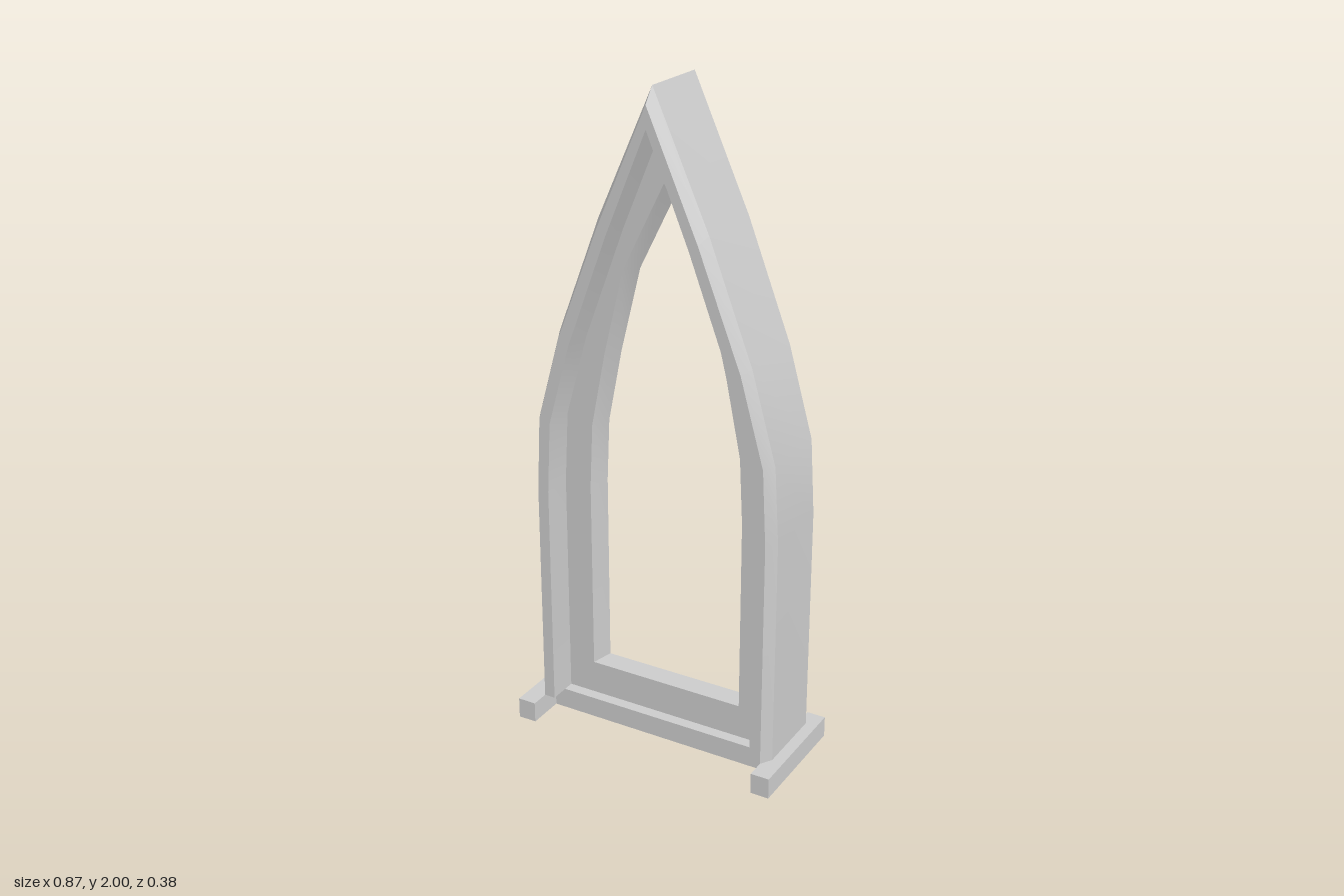
import * as THREE from 'three';
import { toCreasedNormals } from 'three/addons/utils/BufferGeometryUtils.js';

const material = new THREE.MeshStandardMaterial({ color: 0xcccccc });

// Mirrors a right-hand half outline (bottom to apex) into a whole pointed arch at depth z.
function arch(half, z) {
  const left = half.slice(0, -1).reverse().map(([x, y]) => [-x, y]);
  return [...half, ...left].map(([x, y]) => new THREE.Vector3(x, y, z));
}

// Skins a closed loop of arches; a closed path also joins their feet, an open one gets end caps.
function skin(rings, closedPath) {
  const points = [];
  const n = rings[0].length;
  rings.forEach((ring, i) => {
    const next = rings[(i + 1) % rings.length];
    for (let j = 0; j < (closedPath ? n : n - 1); j++) {
      const k = (j + 1) % n;
      points.push(ring[j], ring[k], next[k], ring[j], next[k], next[j]);
    }
  });
  if (!closedPath) {
    for (let i = 1; i < rings.length - 1; i++) {
      points.push(rings[0][0], rings[i][0], rings[i + 1][0]);
      points.push(rings[0][n - 1], rings[i + 1][n - 1], rings[i][n - 1]);
    }
  }
  return toCreasedNormals(new THREE.BufferGeometry().setFromPoints(points), 0.4);
}

export function createModel() {
  const group = new THREE.Group();
  const add = (name, geometry, x = 0, y = 0, z = 0) => {
    const mesh = new THREE.Mesh(geometry, material);
    mesh.name = name;
    mesh.position.set(x, y, z);
    group.add(mesh);
  };

  // Half outlines, from the bottom up to the apex
  const outer = [[0.397, 0.065], [0.397, 0.77], [0.383, 1.0], [0.307, 1.27], [0.172, 1.62], [0, 2]];
  const chamfer = [[0.375, 0.065], [0.375, 0.77], [0.363, 1.0], [0.29, 1.26], [0.157, 1.6], [0, 1.955]];
  const inner = [[0.34, 0.065], [0.34, 0.77], [0.328, 0.99], [0.258, 1.24], [0.13, 1.58], [0, 1.89]];
  const openFront = [[0.253, 0.17], [0.253, 0.77], [0.243, 0.97], [0.197, 1.2], [0.133, 1.46], [0, 1.725]];
  const openBack = [[0.237, 0.17], [0.237, 0.77], [0.228, 0.965], [0.183, 1.19], [0.118, 1.45], [0, 1.685]];

  // Deep outer frame with a chamfered front edge
  add('archFrame', skin([
    arch(outer, -0.13), arch(outer, 0.095), arch(chamfer, 0.13),
    arch(inner, 0.13), arch(inner, -0.13),
  ], false));

  // Recessed panel around the window opening, with a tapered reveal
  add('windowPanel', skin([
    arch(inner, -0.035), arch(inner, 0.035), arch(openFront, 0.035), arch(openBack, -0.035),
  ], true));

  // Base: a cross bar between two feet
  add('baseBar', new THREE.BoxGeometry(0.75, 0.065, 0.14), 0, 0.0325, 0);
  for (const side of [-1, 1]) {
    add(side > 0 ? 'leftFoot' : 'rightFoot',
      new THREE.BoxGeometry(0.058, 0.065, 0.376), side * 0.404, 0.0325, 0);
  }
  return group;
}
